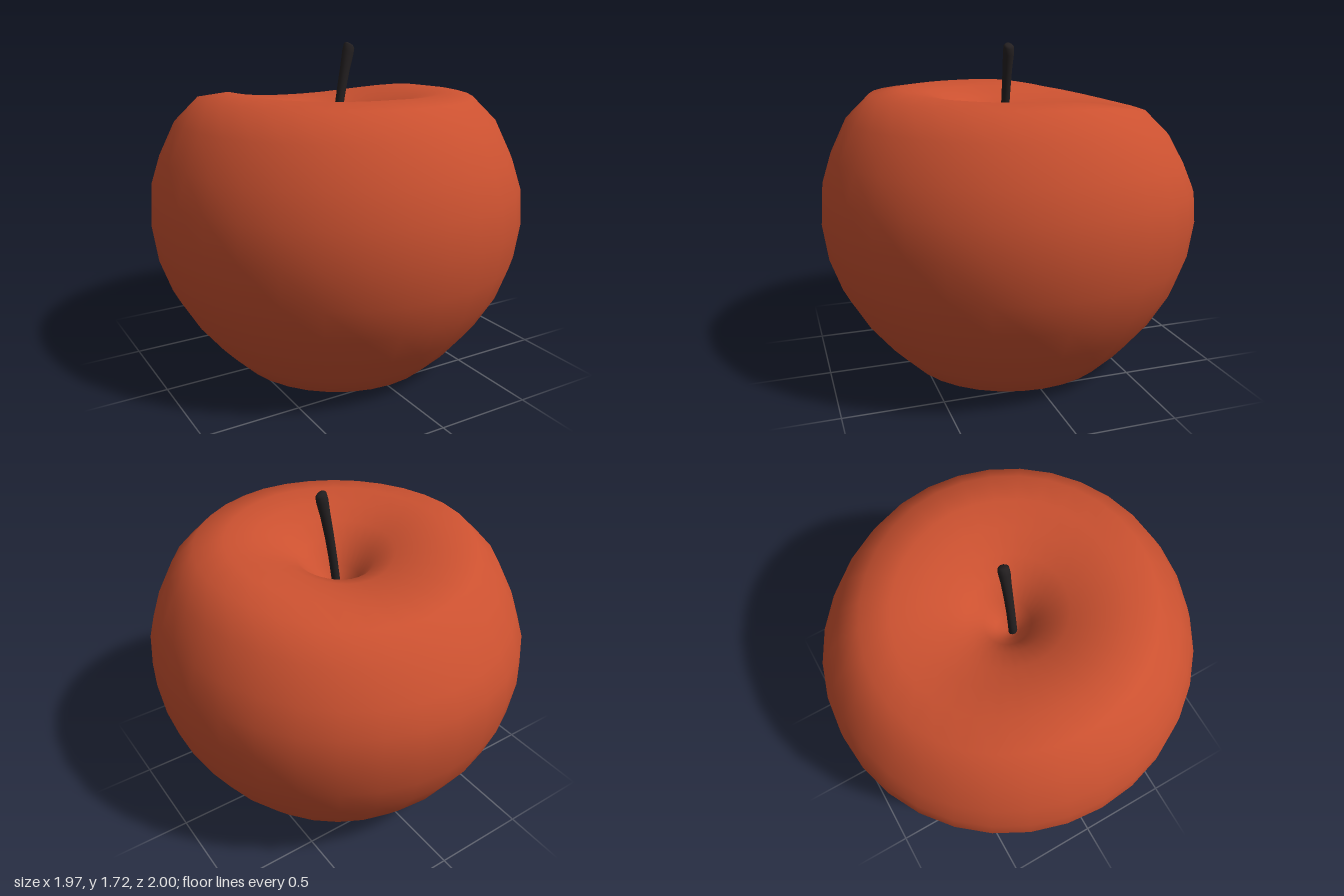
import * as THREE from 'three';
import { mergeVertices } from 'three/addons/utils/BufferGeometryUtils.js';

// Joins seams and recomputes smooth normals after vertices were moved
function smooth(geometry) {
  geometry.deleteAttribute('uv');
  geometry.deleteAttribute('normal');
  const merged = mergeVertices(geometry, 1e-4);
  merged.computeVertexNormals();
  return merged;
}

// Moves every vertex of a geometry by a rule
function reshape(geometry, rule) {
  const pos = geometry.attributes.position;
  const v = new THREE.Vector3();
  for (let i = 0; i < pos.count; i++) {
    rule(v.fromBufferAttribute(pos, i));
    pos.setXYZ(i, v.x, v.y, v.z);
  }
  return geometry;
}

export function createModel() {
  const model = new THREE.Group();
  model.name = 'apple';

  const skin = new THREE.MeshStandardMaterial({ color: 0xcb5130 });
  skin.name = 'red skin';
  const wood = new THREE.MeshStandardMaterial({ color: 0x242021 });
  wood.name = 'dark stem';

  // Fruit body: flat base, round sides, broad shoulder and a dent for the stem
  const profile = [
    [0, 0], [0.4, 0], [0.555, 0.015], [0.68, 0.14], [0.8, 0.29], [0.9, 0.46],
    [0.96, 0.63], [0.987, 0.82], [0.975, 1.0], [0.925, 1.16], [0.84, 1.34],
    [0.715, 1.465], [0.56, 1.487], [0.42, 1.46], [0.3, 1.41], [0.2, 1.35],
    [0.12, 1.24], [0.06, 1.16], [0, 1.13],
  ].map(([x, y]) => new THREE.Vector2(x, y));
  const bodyGeometry = reshape(new THREE.LatheGeometry(profile, 32), (v) => {
    // The shoulder droops at the back and a little on the left
    const r = Math.hypot(v.x, v.z);
    const weight = THREE.MathUtils.smoothstep(v.y, 0.8, 1.35) * THREE.MathUtils.smoothstep(r, 0.05, 0.55);
    const back = Math.max(0, -v.z / (r || 1));
    const left = Math.max(0, v.x / (r || 1));
    v.y -= weight * (0.1 * back ** 2 + 0.02 * left);
    v.z *= 1.013;
  });
  const body = new THREE.Mesh(smooth(bodyGeometry), skin);
  body.name = 'fruitBody';
  model.add(body);

  // Stem: a thin rod that bends left and ends in a slanted tip
  const bottom = 1.11, height = 0.6;
  const stemProfile = [
    [0, 0], [0.023, 0], [0.022, 0.2], [0.022, 0.4], [0.023, 0.6],
    [0.025, 0.8], [0.029, 0.93], [0.027, 0.985], [0.018, 1], [0, 1],
  ].map(([x, y]) => new THREE.Vector2(x, y));
  const stemGeometry = reshape(new THREE.LatheGeometry(stemProfile, 12), (v) => {
    const t = v.y;
    v.y = bottom + height * t - v.x * 0.55 * t;
    v.x += -0.025 + 0.06 * t + 0.04 * t * t;
    v.z += 0.02;
  });
  const stem = new THREE.Mesh(smooth(stemGeometry), wood);
  stem.name = 'stem';
  model.add(stem);

  return model;
}
